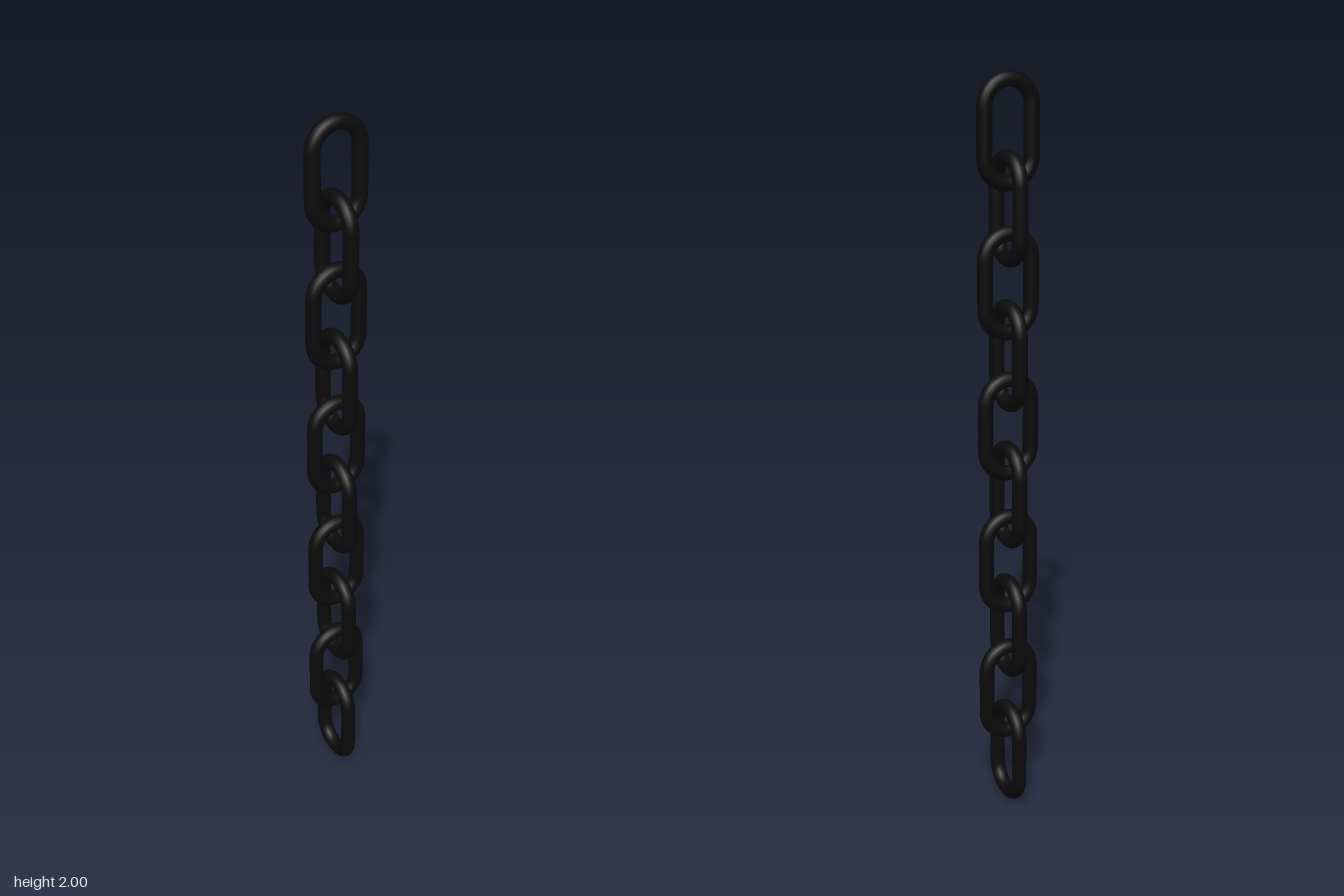
import * as THREE from 'three';

const LINKS = 10;
const WIRE = 0.02;        // wire radius
const BEND = 0.065;       // centre-line radius of the rounded ends
const LENGTH = 0.295;     // overall length of one link
const PITCH = (2 - LENGTH) / (LINKS - 1);

// Stadium-shaped centre line: two straight sides joined by half circles
class LinkCurve extends THREE.Curve {
  getPoint(t, target = new THREE.Vector3()) {
    const straight = LENGTH - 2 * (BEND + WIRE);
    const arc = Math.PI * BEND;
    let d = (t % 1) * 2 * (straight + arc);
    const sign = d < straight + arc ? 1 : -1;
    if (sign < 0) d -= straight + arc;
    if (d < straight) return target.set(sign * BEND, sign * (d - straight / 2), 0);
    const a = (d - straight) / BEND;
    return target.set(sign * BEND * Math.cos(a), sign * (straight / 2 + BEND * Math.sin(a)), 0);
  }
}

export function createModel() {
  const chain = new THREE.Group();
  chain.name = 'chain';
  const material = new THREE.MeshStandardMaterial({ color: 0x0b0b0b });
  const geometry = new THREE.TubeGeometry(new LinkCurve(), 72, WIRE, 16, true);

  // Links hang from the top, each a quarter turn from the one above
  for (let i = 0; i < LINKS; i++) {
    const link = new THREE.Mesh(geometry, material);
    link.name = `link${i + 1}`;
    link.position.y = 2 - LENGTH / 2 - i * PITCH;
    link.rotation.y = (i % 2) * Math.PI / 2;
    chain.add(link);
  }
  return chain;
}
